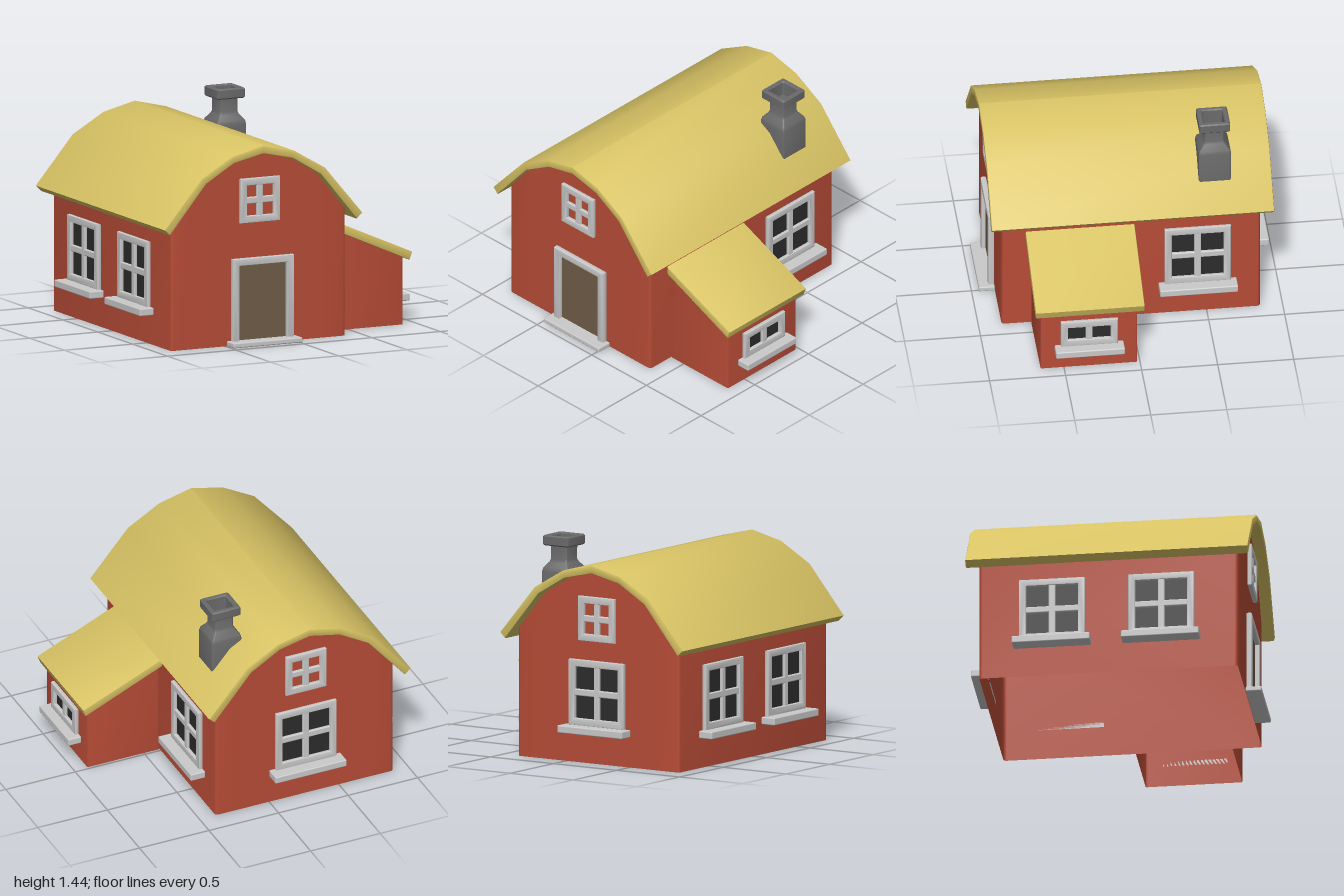
import * as THREE from 'three';
import { toCreasedNormals } from 'three/addons/utils/BufferGeometryUtils.js';
import { RoundedBoxGeometry } from 'three/addons/geometries/RoundedBoxGeometry.js';

const material = (name, color, extra = {}) => {
  const m = new THREE.MeshStandardMaterial({ color, ...extra });
  m.name = name;
  return m;
};

export function createModel() {
  const red = material('red wall', 0xb84c37, { side: THREE.DoubleSide });
  const yellow = material('yellow roof', 0xd8c364);
  const white = material('pale trim', 0xcacaca);
  const gray = material('chimney gray', 0x6a6a6a);
  const dark = material('dark glass', 0x2c2c2c);
  const brown = material('door brown', 0x705d48);

  const house = new THREE.Group();
  house.name = 'barnHouse';

  const add = (parent, name, geometry, mat, x = 0, y = 0, z = 0) => {
    const mesh = new THREE.Mesh(geometry, mat);
    mesh.name = name;
    mesh.position.set(x, y, z);
    parent.add(mesh);
    return mesh;
  };
  const box = (w, h, d) => new RoundedBoxGeometry(w, h, d, 2, Math.min(0.008, d * 0.4));

  // Extrusion with softened edges, spanning z0..z1
  const softExtrude = (shape, z0, z1, bevel = 0.008) => {
    const g = new THREE.ExtrudeGeometry(shape, {
      depth: z1 - z0 - 2 * bevel, bevelThickness: bevel, bevelSize: bevel,
      bevelOffset: -bevel, bevelSegments: 2, curveSegments: 4,
    });
    g.translate(0, 0, z0 + bevel);
    return toCreasedNormals(g, 0.6);
  };
  const polygon = pts => new THREE.Shape(pts.map(p => new THREE.Vector2(...p)));

  // Rounded rectangle in plan; extra x stations subdivide the front and back edges
  const plan = (cx, cz, hw, hd, r, xs = []) => {
    const pts = [];
    for (let k = 0; k < 4; k++) {
      const sx = k === 0 || k === 3 ? 1 : -1;
      const sz = k < 2 ? -1 : 1;
      for (let i = 0; i <= 3; i++) {
        const a = (k + i / 3) * Math.PI / 2;
        pts.push([cx + sx * (hw - r) + r * Math.cos(a), cz + sz * (hd - r) - r * Math.sin(a)]);
      }
      if (k === 0) [...xs].reverse().forEach(x => pts.push([x, cz - hd]));
      if (k === 2) xs.forEach(x => pts.push([x, cz + hd]));
    }
    return pts;
  };
  const ring = (pts, height) => pts.map(([x, z]) => [x, typeof height === 'function' ? height(x) : height, z]);

  // Skin over a stack of closed rings
  const loft = rings => {
    const pos = [];
    for (let j = 0; j + 1 < rings.length; j++) {
      const lo = rings[j], hi = rings[j + 1];
      lo.forEach((p, i) => {
        const n = (i + 1) % lo.length;
        pos.push(...p, ...lo[n], ...hi[n], ...p, ...hi[n], ...hi[i]);
      });
    }
    const g = new THREE.BufferGeometry();
    g.setAttribute('position', new THREE.Float32BufferAttribute(pos, 3));
    return toCreasedNormals(g, 0.6);
  };

  // Main roof: half profiles measured from the ridge, then mirrored
  const ridge = -0.255;
  const outer = [[0, 1.325], [0.228, 1.27], [0.453, 1.14], [0.725, 0.82]];
  const inner = [[0, 1.27], [0.215, 1.222], [0.42, 1.1], [0.685, 0.782]];
  const mirrored = half => [
    ...half.slice(1).reverse().map(([d, y]) => [ridge - d, y]),
    ...half.map(([d, y]) => [ridge + d, y]),
  ];
  const roofShape = polygon([...mirrored(outer).reverse(), ...mirrored(inner)]);
  add(house, 'mainRoof', softExtrude(roofShape, -0.937, 0.922), yellow);

  const roofTop = x => {
    const d = Math.abs(x - ridge);
    let i = 0;
    while (i < 2 && d > outer[i + 1][0]) i++;
    const [a, b] = [outer[i], outer[i + 1]];
    return a[1] + (b[1] - a[1]) * (d - a[0]) / (b[0] - a[0]);
  };

  // Main walls, hollow and open underneath
  const wallPlan = plan(ridge, -0.003, 0.64, 0.85, 0.02, mirrored(outer).slice(1, -1).map(p => p[0]));
  add(house, 'mainWalls', loft([ring(wallPlan, 0), ring(wallPlan, x => roofTop(x) - 0.035)]), red);

  // Side annex with a lean-to roof
  const annexPlan = plan(0.646, 0.335, 0.259, 0.318, 0.01);
  add(house, 'annexWalls', loft([ring(annexPlan, 0), ring(annexPlan, x => 0.705 - (x - 0.385) * 0.435)]), red);
  const annexRoof = polygon([[0.385, 0.672], [0.936, 0.43], [0.956, 0.483], [0.385, 0.732]]);
  add(house, 'annexRoof', softExtrude(annexRoof, -0.027, 0.69), yellow);

  // Chimney: square rings from the roof up, over the cap and down the flue
  const chimneyRing = (h, y) => ring(plan(0.218, -0.563, h, h, Math.min(0.012, h * 0.5)), y);
  const chimneySteps = [
    [0.107, 1.2], [0.101, 1.225], [0.072, 1.262], [0.065, 1.28], [0.065, 1.372],
    [0.094, 1.372], [0.102, 1.38], [0.102, 1.432], [0.094, 1.44],
    [0.076, 1.44], [0.068, 1.432], [0.065, 1.34], [0.001, 1.34],
  ];
  add(house, 'chimney', loft([
    chimneyRing(0.107, x => roofTop(x) - 0.03),
    ...chimneySteps.map(([h, y]) => chimneyRing(h, y)),
  ]), gray);

  // Window built facing +z around its own centre
  const windowUnit = (name, w, h, { bars = 2, glass = true, sill = true, sillDepth = 0.105 } = {}) => {
    const g = new THREE.Group();
    g.name = name;
    const rect = (a, b) => [[-a, -b], [a, -b], [a, b], [-a, b]];
    const shape = polygon(rect(w / 2, h / 2));
    const iw = w / 2 - 0.047, ih = h / 2 - 0.047;
    shape.holes.push(new THREE.Path(rect(iw, ih).reverse().map(p => new THREE.Vector2(...p))));
    add(g, 'windowFrame', softExtrude(shape, 0.001, 0.032), white);
    add(g, 'uprightBar', box(0.045, 2 * ih + 0.02, 0.024), white, 0, 0, 0.014);
    if (bars > 1) add(g, 'crossBar', box(2 * iw + 0.02, 0.045, 0.024), white, 0, 0, 0.014);
    if (glass) add(g, 'glass', new THREE.BoxGeometry(2 * iw + 0.01, 2 * ih + 0.01, 0.004), dark, 0, 0, 0.004);
    if (sill) add(g, 'windowSill', box(w + 0.078, 0.05, sillDepth), white, 0, -h / 2 - 0.024, sillDepth / 2);
    return g;
  };
  const place = (unit, x, y, z, turn) => {
    unit.position.set(x, y, z);
    unit.rotation.y = turn * Math.PI / 2;
    house.add(unit);
  };
  const front = 0.847, back = -0.853;
  place(windowUnit('frontLoftWindow', 0.29, 0.295, { glass: false, sill: false }), ridge, 0.957, front, 0);
  place(windowUnit('backLoftWindow', 0.29, 0.295, { glass: false, sill: false }), ridge, 0.957, back, 2);
  place(windowUnit('backWindow', 0.435, 0.435), ridge, 0.465, back, 2);
  place(windowUnit('leftWindow', 0.435, 0.435), 0.385, 0.465, -0.44, 1);
  for (const z of [-0.372, 0.346]) place(windowUnit('rightWindow', 0.435, 0.435), -0.895, 0.465, z, -1);
  place(windowUnit('annexWindow', 0.375, 0.193, { bars: 1, sillDepth: 0.095 }), 0.905, 0.28, 0.335, 1);

  // Front door with trim and step
  const door = new THREE.Group();
  door.name = 'frontDoor';
  door.position.set(-0.236, 0, front);
  const trim = polygon([
    [-0.225, 0.02], [-0.175, 0.02], [-0.175, 0.53], [0.175, 0.53],
    [0.175, 0.02], [0.225, 0.02], [0.225, 0.577], [-0.225, 0.577],
  ]);
  add(door, 'doorTrim', softExtrude(trim, 0.001, 0.04), white);
  add(door, 'doorPanel', new THREE.BoxGeometry(0.36, 0.52, 0.008), brown, 0, 0.275, 0.006);
  add(door, 'doorStep', box(0.507, 0.034, 0.105), white, 0, 0.017, 0.0525);
  house.add(door);

  return house;
}
